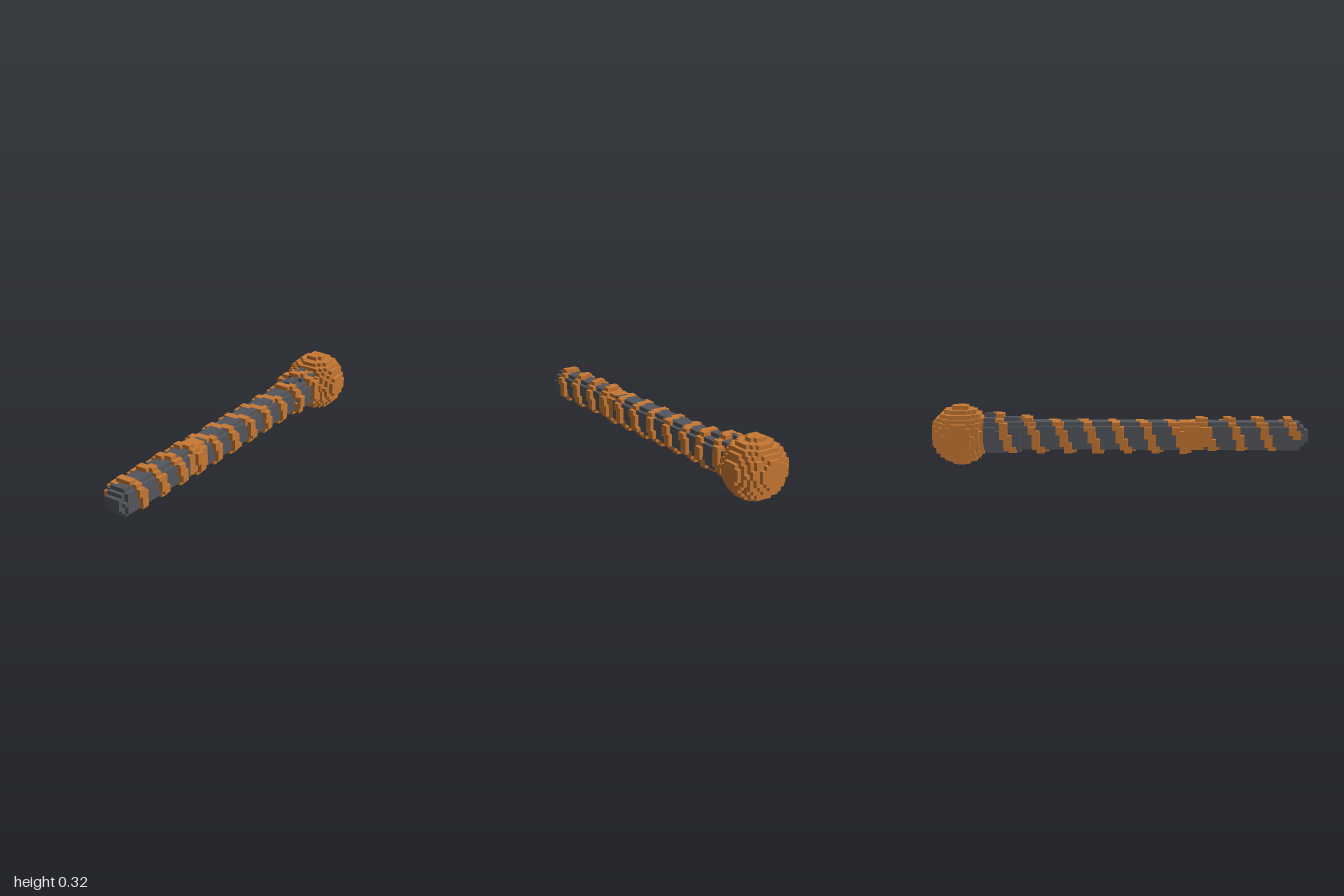
import * as THREE from 'three';

const S = 2 / 94;   // edge of one cube
const CY = 7.5;     // axis height in cubes
const PITCH = 7.24; // cubes per turn of the spiral

export function createModel() {
  const copper = new THREE.MeshStandardMaterial({ color: 0xc87833 });
  copper.name = 'copper';
  const iron = new THREE.MeshStandardMaterial({ color: 0x53565d });
  iron.name = 'darkIron';
  const materials = { shaft: iron, collar: iron, spiralBand: copper, gripRing: copper, headBall: copper };

  // Grid of cubes: key -> part name (later parts replace earlier ones)
  const cells = new Map();
  const key = (x, y, z) => `${x},${y},${z}`;
  const set = (x, y, z, part) => cells.set(key(x, y, z), part);
  const fill = (x0, x1, part, inside) => {
    for (let x = x0; x < x1; x++)
      for (let y = 0; y < 15; y++)
        for (let z = -7; z < 7; z++)
          if (inside(x + 0.5, y + 0.5 - CY, z + 0.5)) set(x, y, z, part);
  };

  // Shaft with a stepped tip
  fill(2, 82, 'shaft', (x, y, z) => y * y + z * z < 11.5);
  fill(1, 2, 'shaft', (x, y, z) => y * y + z * z < 7);
  fill(0, 1, 'shaft', (x, y, z) => Math.abs(y) < 1.5 && Math.abs(z) < 2);

  // Collar widening towards the head
  fill(72, 76, 'collar', (x, y, z) => y * y + z * z < 16.6);
  fill(76, 82, 'collar', (x, y, z) => (y - 0.3) ** 2 + (z + 0.3) ** 2 < 20);
  fill(78, 81, 'collar', (x, y, z) => (y - 0.5) ** 2 + (z + 0.4) ** 2 < 21);

  // Ring set into the shaft
  fill(26, 32, 'gripRing', (x, y, z) => y * y + z * z < 11.5);
  fill(25, 26, 'gripRing', (x, y, z) => Math.abs(y) < 2.5 && Math.abs(z) < 3 && y * y + z * z < 11.5);

  // Spiral band, starting at the top and turning towards the front
  for (let x = 3; x < 80; x += 0.04) {
    const a = ((x - 5.03) / PITCH) * Math.PI * 2;
    const r = x < 70 ? 3.6 : x < 75 ? 4.2 : 4.7;
    const lift = x < 30 ? 0.2 : x < 68 ? -0.2 : 0.2;
    const y = Math.floor(CY + lift + r * Math.cos(a));
    const z = Math.floor(r * Math.sin(a));
    for (const dx of [-0.5, 0.5]) set(Math.floor(x + dx), y, z, 'spiralBand');
  }

  // Round head
  fill(80, 94, 'headBall', (x, y, z) => (x - 87) ** 2 + (y - 0.05) ** 2 + (z + 0.15) ** 2 < 52.8);

  // Emit only the exposed cube faces, one mesh for each part
  const data = {};
  for (const part in materials) data[part] = { pos: [], nor: [], idx: [] };
  for (const [k, part] of cells) {
    const c = k.split(',').map(Number);
    const { pos, nor, idx } = data[part];
    for (let axis = 0; axis < 3; axis++) {
      for (const dir of [-1, 1]) {
        const n = [0, 0, 0];
        n[axis] = dir;
        if (cells.has(key(c[0] + n[0], c[1] + n[1], c[2] + n[2]))) continue;
        const u = (axis + 1) % 3, v = (axis + 2) % 3;
        const base = pos.length / 3;
        for (const [a, b] of [[0, 0], [1, 0], [1, 1], [0, 1]]) {
          const p = [...c];
          p[axis] += dir > 0 ? 1 : 0;
          p[u] += a;
          p[v] += b;
          pos.push((p[0] - 47) * S, p[1] * S, p[2] * S);
          nor.push(...n);
        }
        const order = dir > 0 ? [0, 1, 2, 0, 2, 3] : [0, 2, 1, 0, 3, 2];
        idx.push(...order.map((i) => i + base));
      }
    }
  }

  const group = new THREE.Group();
  group.name = 'mace';
  for (const part in data) {
    const { pos, nor, idx } = data[part];
    const geometry = new THREE.BufferGeometry();
    geometry.setAttribute('position', new THREE.Float32BufferAttribute(pos, 3));
    geometry.setAttribute('normal', new THREE.Float32BufferAttribute(nor, 3));
    geometry.setIndex(idx);
    const mesh = new THREE.Mesh(geometry, materials[part]);
    mesh.name = part;
    group.add(mesh);
  }
  return group;
}
